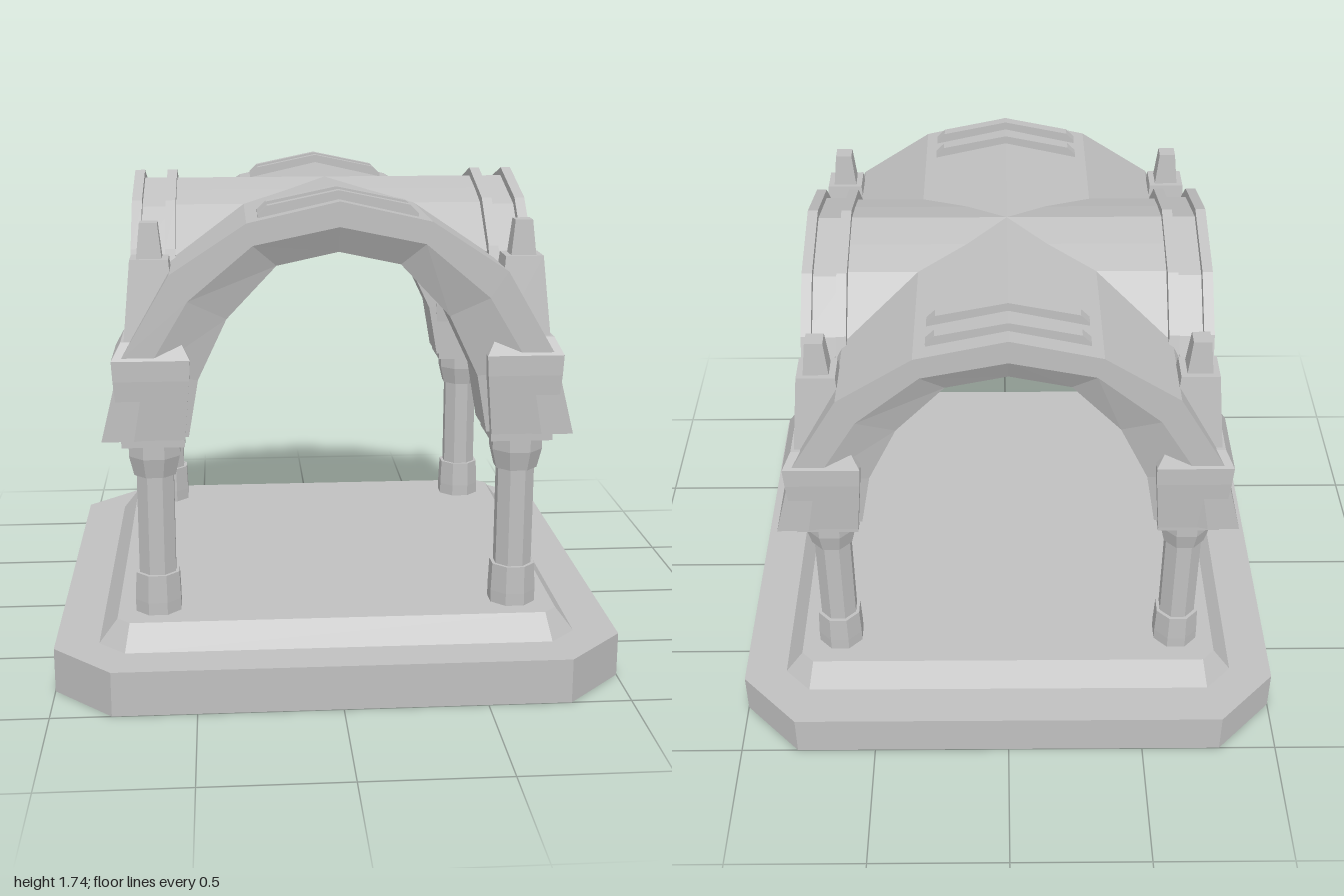
import * as THREE from 'three';

const stone = new THREE.MeshStandardMaterial({ color: 0xc0c0c0, flatShading: true, side: THREE.DoubleSide });
stone.name = 'stone grey';

// Skin rows of points; closed rows wrap around, caps fill the first/last row.
function loft(name, rows, { closed = true, capStart = false, capEnd = false } = {}) {
  const pos = [];
  const tri = (a, b, c) => pos.push(...a, ...b, ...c);
  const n = rows[0].length;
  for (let i = 0; i < rows.length - 1; i++) {
    for (let j = 0; j < (closed ? n : n - 1); j++) {
      const k = (j + 1) % n;
      tri(rows[i][j], rows[i][k], rows[i + 1][k]);
      tri(rows[i][j], rows[i + 1][k], rows[i + 1][j]);
    }
  }
  const first = rows[0], last = rows[rows.length - 1];
  for (let j = 1; j < n - 1; j++) {
    if (capStart) tri(first[0], first[j + 1], first[j]);
    if (capEnd) tri(last[0], last[j], last[j + 1]);
  }
  const g = new THREE.BufferGeometry();
  g.setAttribute('position', new THREE.Float32BufferAttribute(pos, 3));
  g.computeVertexNormals();
  const m = new THREE.Mesh(g, stone);
  m.name = name;
  return m;
}

// Horizontal outlines: a square with cut corners, and a rectangle.
const octagon = (h, c, y) =>
  [[h, c], [h, -c], [c, -h], [-c, -h], [-h, -c], [-h, c], [-c, h], [c, h]].map(([x, z]) => [x, y, z]);
const rect = (hx, hz, y) => [[hx, y, hz], [hx, y, -hz], [-hx, y, -hz], [-hx, y, hz]];

// Half profile (crown first) -> full profile from -x to +x.
const mirror = (half) => [...half.slice(1).reverse().map(([x, y]) => [-x, y]), ...half];

// Solid arch between two profiles, with an optional bevel line on its face.
function arch(name, outer, inner, zFront, zBack, mid = null, bevel = 0) {
  const o = mirror(outer), i = mirror(inner), m = mid && mirror(mid);
  const rows = o.map((p, k) => [
    [...p, zFront],
    ...(m ? [[...m[k], zFront]] : []),
    [...i[k], zFront - bevel],
    [...i[k], zBack],
    [...p, zBack],
  ]);
  return loft(name, rows, { capStart: true, capEnd: true });
}

const barrel = [[0, 1.71], [0.31, 1.64], [0.57, 1.47], [0.74, 1.18], [0.81, 0.9]];
const barrelMid = [[0, 1.625], [0.29, 1.565], [0.51, 1.38], [0.66, 1.13], [0.7, 0.9]];
const barrelIn = [[0, 1.535], [0.21, 1.49], [0.38, 1.31], [0.48, 1.1], [0.515, 0.9]];
const crownRib = [[0, 1.74], [0.24, 1.69], [0.27, 1.66]];
const crownRibIn = [[0, 1.68], [0.24, 1.64], [0.27, 1.63]];
const sideOut = [[0, 1.71], [0.27, 1.635], [0.43, 1.49], [0.51, 1.28], [0.52, 1.22]];
const sideIn = [[0, 1.575], [0.2, 1.52], [0.31, 1.385], [0.385, 1.265], [0.41, 1.22]];
const sideRib = [[0, 1.74], [0.29, 1.66], [0.455, 1.51], [0.535, 1.28], [0.55, 1.22]];
const sideRibIn = sideOut.map(([x, y]) => [x * 0.97, y - 0.02]);

function makeFrontArch() {
  const g = new THREE.Group();
  g.add(arch('mainArch', barrel, barrelIn, 0.77, 0.5, barrelMid, 0.05));
  for (const z of [0.595, 0.71]) g.add(arch('crownRib', crownRib, crownRibIn, z, z - 0.038));
  return g;
}

function makeSideArch() {
  const g = new THREE.Group();
  g.add(arch('sideArch', sideOut, sideIn, 0.7, 0.555));
  for (const z of [0.59, 0.71]) g.add(arch('sideRib', sideRib, sideRibIn, z, z - 0.036));
  // Cross vault running in to meet the main vault along the groins.
  const groin = [[0, 1.71, 0], [0.13, 1.678, 0.14], [0.25, 1.64, 0.31], [0.43, 1.485, 0.55]];
  const line = [...groin.slice(1).reverse().map(([x, y, z]) => [-x, y, z]), ...groin];
  g.add(loft('crossVault', line.map(([x, y, z]) => [[x, y, z], [x, y, 0.56]]), { closed: false }));
  return g;
}

function makeCorner() {
  const g = new THREE.Group();
  // Eight-sided column with a foot and a flared capital.
  const shaft = [[0.08, 0.225], [0.08, 0.29], [0.076, 0.39], [0.064, 0.39], [0.064, 0.75],
    [0.072, 0.75], [0.088, 0.82], [0.088, 0.87]];
  g.add(loft('column', shaft.map(([r, y]) => octagon(r, r * 0.414, y)), { capEnd: true }));
  g.add(loft('abacus', [rect(0.108, 0.108, 0.87), rect(0.108, 0.108, 0.9)], { capStart: true, capEnd: true }));
  // Pier block with a bevelled top.
  g.add(loft('pierBlock', [
    rect(0.11, 0.125, 0.9), rect(0.128, 0.14, 1.11), rect(0.132, 0.14, 1.18), rect(0.1, 0.11, 1.24),
  ], { capStart: true, capEnd: true }));
  // Tapered pinnacle with a small obelisk cap.
  g.add(loft('pinnacle', [
    rect(0.09, 0.1, 1.23), rect(0.065, 0.058, 1.51), rect(0.043, 0.04, 1.51), rect(0.03, 0.03, 1.63),
  ], { capEnd: true }));
  return g;
}

export function createModel() {
  const model = new THREE.Group();
  model.name = 'pavilion';

  // Stepped plinth, open underneath.
  model.add(loft('plinth', [
    octagon(1, 0.79, 0), octagon(1, 0.79, 0.16), octagon(0.845, 0.75, 0.16), octagon(0.78, 0.735, 0.245),
  ], { capEnd: true }));

  // Main vault shell between the end arches.
  model.add(loft('mainVault', mirror(barrel).map((p) => [[...p, -0.5], [...p, 0.5]]), { closed: false }));

  for (const [name, make, angle] of [
    ['frontArch', makeFrontArch, 0], ['backArch', makeFrontArch, Math.PI],
    ['leftArch', makeSideArch, Math.PI / 2], ['rightArch', makeSideArch, -Math.PI / 2],
  ]) {
    const g = make();
    g.name = name;
    g.rotation.y = angle;
    model.add(g);
  }

  for (const sx of [-1, 1]) {
    for (const sz of [-1, 1]) {
      const corner = makeCorner();
      corner.name = (sz > 0 ? 'front' : 'back') + (sx > 0 ? 'Left' : 'Right') + 'Corner';
      corner.position.set(sx * 0.637, 0, sz * 0.635);
      model.add(corner);
    }
  }
  return model;
}
